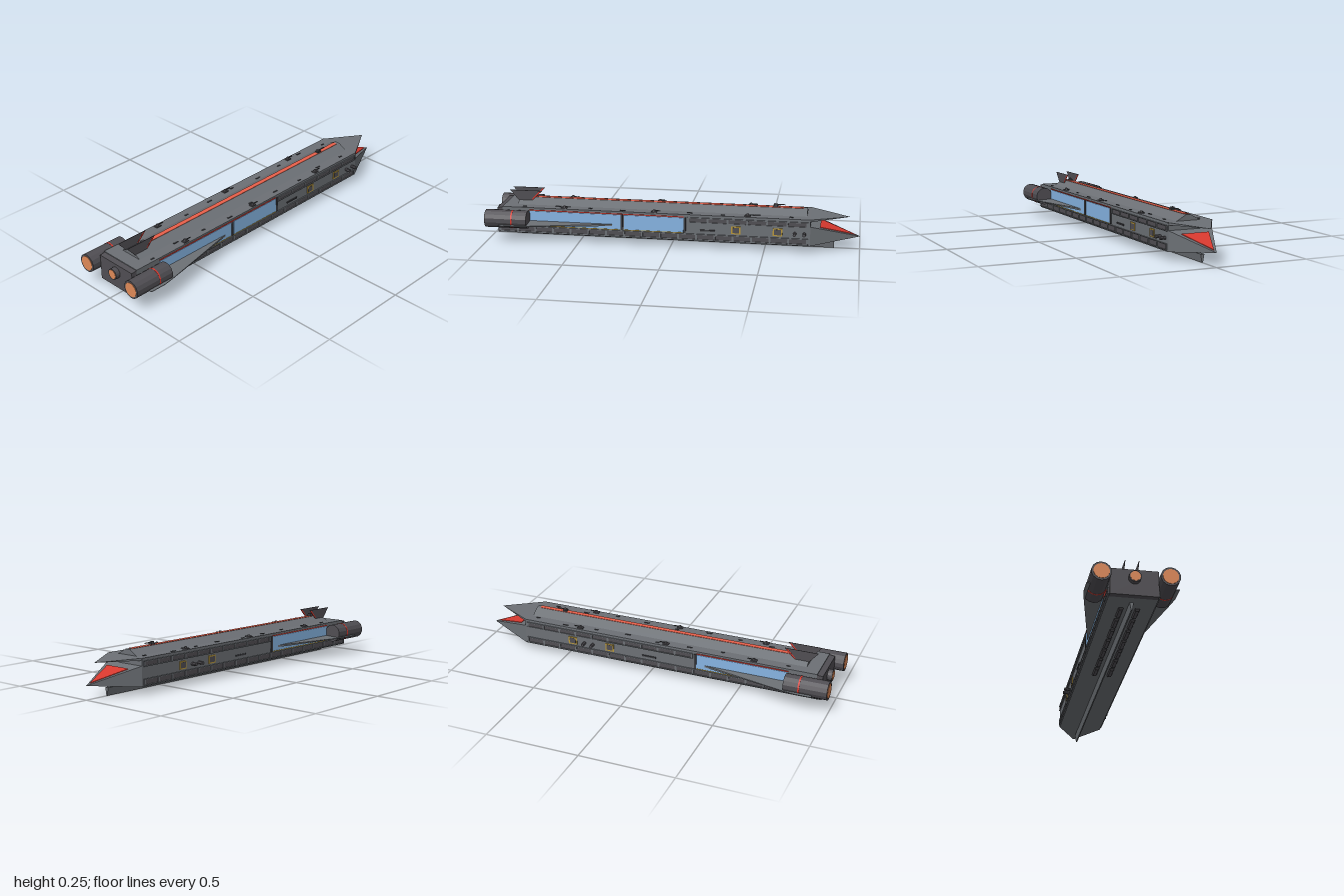
import * as THREE from 'three';
import { ConvexGeometry } from 'three/addons/geometries/ConvexGeometry.js';

const paint = (color) => new THREE.MeshStandardMaterial({ color, flatShading: true });

export function createModel() {
  const ship = new THREE.Group();
  ship.name = 'spaceship';
  const hullMat = paint(0x6c7075), darkMat = paint(0x504e53), shadowMat = paint(0x3c3d41);
  const redMat = paint(0xd8392f), stripeMat = paint(0xe8604a), glowMat = paint(0xe08a58);
  const glassMat = paint(0x86b4e2), yellowMat = paint(0xb8973a);

  const add = (name, geometry, material, x = 0, y = 0, z = 0, parent = ship) => {
    const mesh = new THREE.Mesh(geometry, material);
    mesh.name = name;
    mesh.position.set(x, y, z);
    parent.add(mesh);
    return mesh;
  };
  const box = (name, mat, w, h, d, x, y, z) => add(name, new THREE.BoxGeometry(w, h, d), mat, x, y, z);
  const solid = (name, mat, points) =>
    add(name, new ConvexGeometry(points.map((p) => new THREE.Vector3(...p))), mat);
  // Cylinder lying along z
  const drum = (name, mat, r, length, sides, x, y, z) =>
    add(name, new THREE.CylinderGeometry(r, r, length, sides).rotateX(Math.PI / 2), mat, x, y, z);
  // Profile in x, y pulled along z
  const prism = (name, mat, profile, z0, z1) => {
    const shape = new THREE.Shape(profile.map((p) => new THREE.Vector2(...p)));
    const geo = new THREE.ExtrudeGeometry(shape, { depth: z1 - z0, bevelEnabled: false });
    return add(name, geo, mat, 0, 0, z0);
  };

  // Main hull with a chamfered engine end
  box('hull', hullMat, 0.24, 0.14, 1.66, 0, 0.11, -0.09 + 0.18 - 0.0 - 0.0);
  solid('sternBlock', darkMat, [-1, 1].flatMap((s) => [
    [s * 0.12, 0.04, 0.92], [s * 0.12, 0.18, 0.92],
    [s * 0.118, 0.04, 0.95], [s * 0.118, 0.176, 0.95],
  ]));
  box('roofPlate', hullMat, 0.244, 0.006, 1.66, 0, 0.181, 0.09);

  // Split nose: sloping lower jaw, thin upper beak and a red panel between them
  solid('lowerJaw', hullMat, [
    [-0.12, 0.04, -0.74], [0.12, 0.04, -0.74], [-0.12, 0.145, -0.74], [0.12, 0.145, -0.74], [0, 0.07, -1],
  ]);
  solid('upperBeak', hullMat, [
    [-0.12, 0.184, -0.74], [0.12, 0.184, -0.74], [-0.12, 0.172, -0.74], [0.12, 0.172, -0.74], [0, 0.175, -0.945],
  ]);
  solid('nosePanel', redMat, [0, 0.003].flatMap((t) => [
    [-0.075, 0.131 + t, -0.79], [0.075, 0.131 + t, -0.79], [0, 0.078 + t, -0.975],
  ]));
  box('noseBulkhead', hullMat, 0.24, 0.14, 0.02, 0, 0.11, -0.731);

  // Dorsal ridge, stripe and keel
  prism('dorsalRidge', hullMat, [[-0.068, 0.182], [0.068, 0.182], [0.013, 0.213], [-0.013, 0.213]], -0.72, 0.85);
  box('dorsalStripe', stripeMat, 0.026, 0.003, 1.53, 0, 0.2135, 0.065);
  prism('keel', hullMat, [[-0.003, 0], [0.003, 0], [0.01, 0.042], [-0.01, 0.042]], -0.865, 0.875);
  for (const z of [-0.55, 0.77]) {
    box('ridgeMount', shadowMat, 0.022, 0.01, 0.024, 0, 0.218, z);
    box('ridgeTurret', darkMat, 0.015, 0.008, 0.018, 0, 0.226, z);
  }
  box('ridgeBarrel', darkMat, 0.005, 0.004, 0.05, 0, 0.226, -0.575);

  // Central engine
  drum('centralEngine', darkMat, 0.03, 0.03, 16, 0, 0.129, 0.96);
  drum('centralGlow', glowMat, 0.025, 0.004, 16, 0, 0.129, 0.975);

  for (const s of [-1, 1]) {
    // Engine pods
    drum('enginePod', darkMat, 0.049, 0.23, 14, s * 0.165, 0.129, 0.883);
    drum('engineBand', redMat, 0.0498, 0.008, 14, s * 0.165, 0.129, 0.85);
    drum('engineGlow', glowMat, 0.039, 0.004, 14, s * 0.165, 0.129, 0.998);

    // Swept wing, thicker at the root
    solid('wing', hullMat, [
      ...[0.101, 0.112].flatMap((y) => [[s * 0.118, y, 0.29], [s * 0.118, y, 0.92]]),
      ...[0.103, 0.106].flatMap((y) => [[s * 0.214, y, 0.77], [s * 0.224, y, 0.83], [s * 0.224, y, 0.92]]),
    ]);

    // Upright tail fins with red leading tips
    solid('tailFin', darkMat, [-0.0012, 0.0012].flatMap((t) => [
      [s * 0.034 + t, 0.196, 0.85], [s * 0.034 + t, 0.196, 0.78],
      [s * 0.034 + t, 0.255, 0.72], [s * 0.034 + t, 0.255, 0.9],
    ]));
    solid('finTip', redMat, [-0.0017, 0.0017].flatMap((t) => [
      [s * 0.034 + t, 0.205, 0.771], [s * 0.034 + t, 0.205, 0.755 + 0.025],
      [s * 0.034 + t, 0.25, 0.725], [s * 0.034 + t, 0.25, 0.738],
    ]));

    // Side windows: the left side carries an extra forward one
    const windows = s > 0 ? [[0.27, 0.77], [-0.07, 0.25]] : [[0.27, 0.77]];
    const windowEnd = s > 0 ? -0.07 : 0.27;
    for (const [a, b] of windows) {
      box('sideWindow', glassMat, 0.004, 0.08, b - a, s * 0.121, 0.125, (a + b) / 2);
      box('windowSill', yellowMat, 0.006, 0.003, b - a, s * 0.121, 0.083, (a + b) / 2);
      box('windowPost', shadowMat, 0.008, 0.086, 0.012, s * 0.121, 0.125, a - 0.007);
    }
    box('windowLintel', redMat, 0.006, 0.004, 0.77 - windowEnd, s * 0.121, 0.17, (0.77 + windowEnd) / 2);
    box('hullMarking', redMat, 0.006, 0.02, 0.06, s * 0.121, 0.092, 0.84);

    // Ribbed rails along the flanks
    const rail = (y0, y1, z0, z1) => {
      for (const y of [y0, y1]) box('sideRail', hullMat, 0.011, 0.004, z1 - z0, s * 0.121, y, (z0 + z1) / 2);
      box('railRecess', darkMat, 0.003, y1 - y0, z1 - z0, s * 0.1205, (y0 + y1) / 2, (z0 + z1) / 2);
      const count = Math.round((z1 - z0) / 0.1);
      for (let i = 0; i <= count; i++) {
        box('railRib', hullMat, 0.009, y1 - y0, 0.01, s * 0.121, (y0 + y1) / 2, z0 + 0.005 + ((z1 - z0 - 0.01) * i) / count);
      }
    };
    rail(0.048, 0.077, -0.73, 0.94);
    rail(0.142, 0.167, -0.73, windowEnd - 0.02);

    // Yellow hatches, slots and small side thrusters
    for (const z of s > 0 ? [-0.35, -0.57] : [-0.45, -0.23]) {
      box('hatchFrame', yellowMat, 0.006, 0.042, 0.05, s * 0.121, 0.109, z);
      box('hatchDoor', darkMat, 0.008, 0.03, 0.036, s * 0.121, 0.109, z);
    }
    box('sideSlot', shadowMat, 0.008, 0.008, 0.08, s * 0.121, 0.1, s > 0 ? -0.2 : 0.0);
    for (const z of s > 0 ? [-0.71, -0.66] : [-0.38, -0.33]) {
      const geo = new THREE.CylinderGeometry(0.009, 0.009, 0.032, 8).rotateZ(Math.PI / 2);
      add('sideThruster', geo, darkMat, s * 0.135, 0.106, z);
    }

    // Roof turrets
    for (const z of [-0.41, 0.09, 0.58]) {
      box('turretBase', darkMat, 0.024, 0.006, 0.03, s * 0.103, 0.187, z);
      const dome = new THREE.CylinderGeometry(0.006, 0.01, 0.009, 6);
      add('turretDome', dome, darkMat, s * 0.103, 0.1935, z);
      box('turretBarrel', shadowMat, 0.004, 0.003, 0.03, s * 0.103, 0.193, z - 0.02);
    }
    // Scattered roof fittings
    for (let i = 0; i < 9; i++) {
      const x = s * (0.078 + 0.012 * ((i * 2 + (s > 0 ? 1 : 0)) % 3));
      box('roofFitting', shadowMat, 0.008, 0.004, 0.02 + 0.01 * (i % 2), x, 0.185, -0.66 + i * 0.18 + s * 0.02);
    }
    // Belly pods
    for (let i = 0; i < 7; i++) {
      solid('bellyPod', darkMat, [-1, 1].flatMap((t) => {
        const z = 0.77 - i * 0.115;
        return [[s * 0.04 - 0.013, 0.041, z + t * 0.048], [s * 0.04 + 0.013, 0.041, z + t * 0.048],
          [s * 0.04 - 0.008, 0.03, z + t * 0.04], [s * 0.04 + 0.008, 0.03, z + t * 0.04]];
      }));
    }
  }
  return ship;
}
